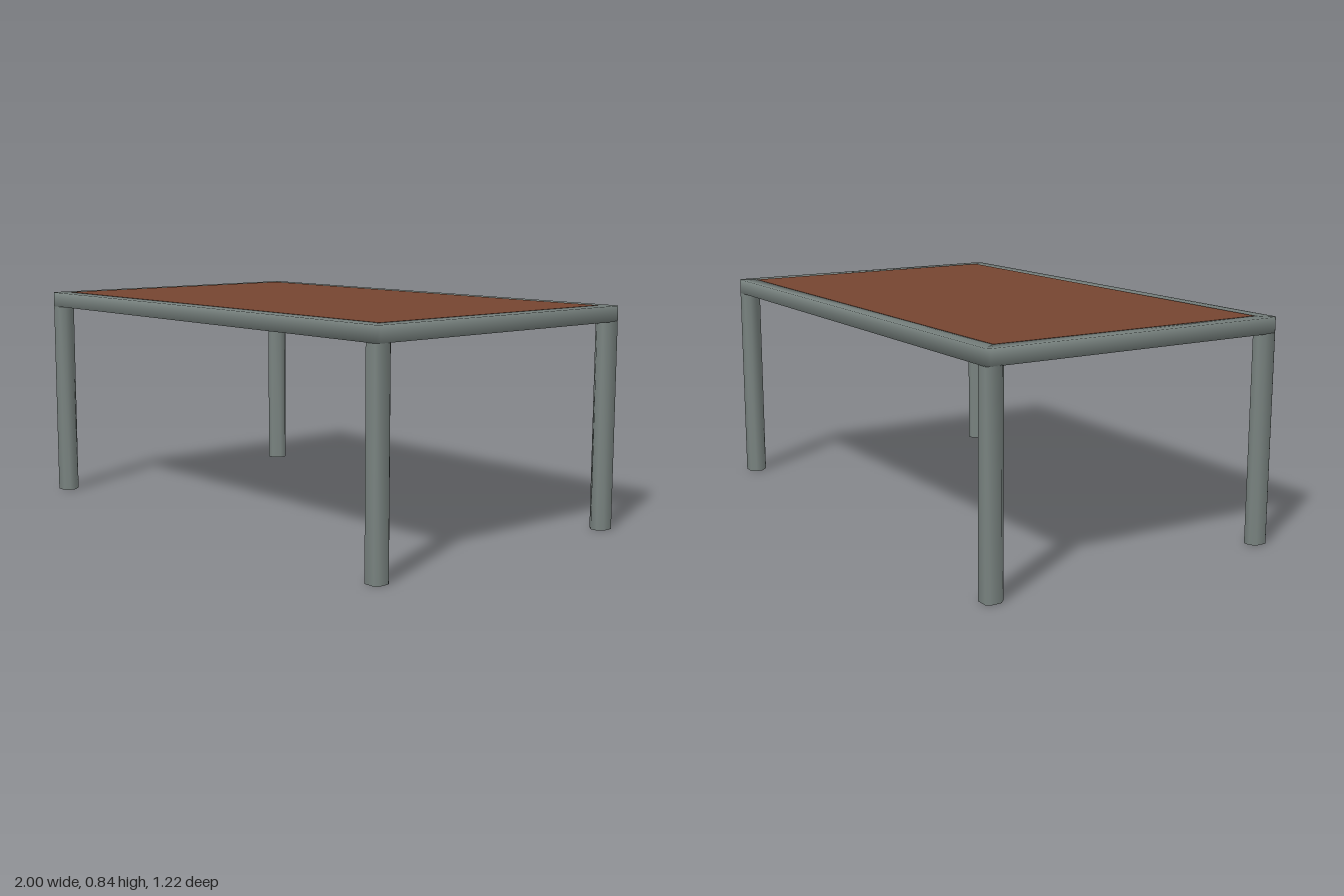
import * as THREE from 'three';
import { toCreasedNormals } from 'three/addons/utils/BufferGeometryUtils.js';

const HALF_X = 1, HALF_Z = 0.608, TOP = 0.838, RIM_BOTTOM = 0.78;
const LEG = 0.074, CORNER_CUT = 0.012;

// Rim: a softly shaded square bar swept round the rectangle, corners slightly cut
function rimGeometry() {
  // [distance in from the outer edge, height]
  const profile = [[0, RIM_BOTTOM], [0, TOP], [0.058, TOP], [0.058, RIM_BOTTOM]];
  const corners = [[1, 1], [1, -1], [-1, -1], [-1, 1]];
  const points = [], index = [];
  corners.forEach(([sx, sz], k) => {
    for (let end = 0; end < 2; end++) {
      const cutX = (k + end) % 2 === 0;
      for (const [d, y] of profile) {
        const cut = CORNER_CUT - d * 0.15;
        points.push(
          sx * (HALF_X - d - (cutX ? cut : 0)), y,
          sz * (HALF_Z - d - (cutX ? 0 : cut)));
      }
    }
  });
  const n = profile.length, rings = corners.length * 2;
  for (let i = 0; i < rings; i++) {
    for (let j = 0; j < n; j++) {
      const next = (i + 1) % rings, up = (j + 1) % n;
      const a = i * n + j, b = next * n + j, c = next * n + up, d = i * n + up;
      index.push(a, b, c, a, c, d);
    }
  }
  const geometry = new THREE.BufferGeometry();
  geometry.setAttribute('position', new THREE.Float32BufferAttribute(points, 3));
  geometry.setIndex(index);
  geometry.computeVertexNormals();
  return geometry;
}

// Leg: eight-sided post, sharper at the outer corner and rounder at the inner one
function legGeometry(sx, sz) {
  const side = 0.019, inner = 0.028;
  const section = [
    [CORNER_CUT, 0], [LEG - side, 0], [LEG, side], [LEG, LEG - inner],
    [LEG - inner, LEG], [side, LEG], [0, LEG - side], [0, CORNER_CUT],
  ];
  const shape = new THREE.Shape(section.map(([a, b]) =>
    new THREE.Vector2(sx * (HALF_X - a), -sz * (HALF_Z - b))));
  const geometry = new THREE.ExtrudeGeometry(shape, { depth: RIM_BOTTOM + 0.002, bevelEnabled: false });
  geometry.rotateX(-Math.PI / 2);
  return toCreasedNormals(geometry, 1.1);
}

export function createModel() {
  const metal = new THREE.MeshStandardMaterial({ color: 0x78827f });
  metal.name = 'grey metal';
  const wood = new THREE.MeshStandardMaterial({ color: 0x764531 });
  wood.name = 'brown wood';

  const table = new THREE.Group();
  table.name = 'table';
  const add = (name, geometry, material) => {
    const mesh = new THREE.Mesh(geometry, material);
    mesh.name = name;
    table.add(mesh);
    return mesh;
  };

  add('rim', rimGeometry(), metal);

  // Thick table top filling the rim
  const slabBottom = 0.79, slabTop = TOP + 0.001;
  const slab = new THREE.BoxGeometry(1.886, slabTop - slabBottom, 1.1);
  add('tableTop', slab, wood).position.y = (slabTop + slabBottom) / 2;

  for (const [zName, sz] of [['front', 1], ['back', -1]]) {
    for (const [xName, sx] of [['Left', 1], ['Right', -1]]) {
      add(`${zName}${xName}Leg`, legGeometry(sx, sz), metal);
    }
  }
  return table;
}
